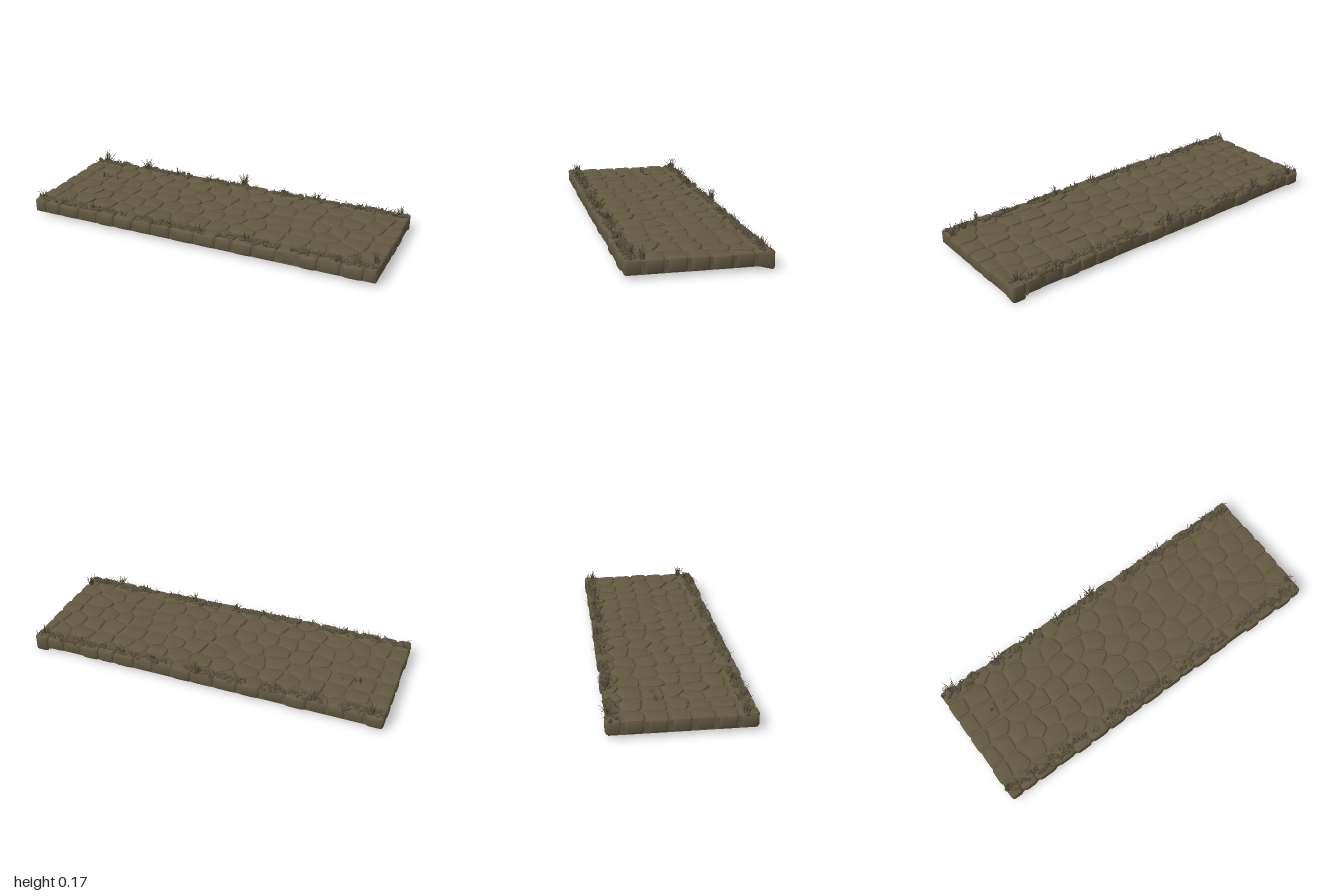
import * as THREE from 'three';
import { mergeGeometries, toCreasedNormals } from 'three/addons/utils/BufferGeometryUtils.js';

const BOTTOM = 0.02, TOP = 0.09;

// Small seeded random source
let seed = 7;
const rnd = (a = 0, b = 1) => {
  seed = (seed * 1664525 + 1013904223) % 4294967296;
  return a + (b - a) * seed / 4294967296;
};

// Keep the part of a convex polygon where nx*x + nz*z <= d
function clip(poly, nx, nz, d) {
  const out = [];
  poly.forEach((p, i) => {
    const q = poly[(i + 1) % poly.length];
    const a = nx * p.x + nz * p.y - d, b = nx * q.x + nz * q.y - d;
    if (a <= 0) out.push(p);
    if (a * b < 0) out.push(p.clone().lerp(q, a / (a - b)));
  });
  return out;
}

// Centres of the paving stones: kerb rows outside, wider rows inside
function stoneCentres() {
  const sites = [];
  const rows = [-0.312, -0.215, -0.105, 0, 0.105, 0.215, 0.318];
  rows.forEach((z, r) => {
    const kerb = r === 0 || r === rows.length - 1;
    const jitter = kerb ? 0.006 : 0.022;
    sites.push([-0.95, z + rnd(-0.01, 0.01)], [0.962, z + rnd(-0.01, 0.01)]);
    let x = -0.95 + rnd(0.08, 0.13);
    while (x < 0.9) {
      sites.push([x, z + rnd(-jitter, jitter)]);
      x += rnd(0.085, 0.155);
    }
  });
  return sites;
}

// Outline of one stone: the cell around its centre, less a narrow joint
function stoneOutline(site, sites) {
  let poly = [[-1.2, -0.6], [1.2, -0.6], [1.2, 0.6], [-1.2, 0.6]].map(p => new THREE.Vector2(...p));
  poly = clip(poly, 1, 0, 0.992 - rnd(0, 0.008));
  poly = clip(poly, -1, 0, 0.992 - rnd(0, 0.008));
  poly = clip(poly, 0, 1, 0.36 - rnd(0, 0.014));
  poly = clip(poly, 0, -1, 0.348 - rnd(0, 0.012));
  for (const other of sites) {
    if (other === site) continue;
    const dx = other[0] - site[0], dz = other[1] - site[1], len = Math.hypot(dx, dz);
    if (len > 0.5) continue;
    const nx = dx / len, nz = dz / len;
    poly = clip(poly, nx, nz, nx * site[0] + nz * site[1] + len / 2 - 0.0035);
  }
  return poly.filter((p, i) => p.distanceTo(poly[(i + 1) % poly.length]) > 0.018);
}

// A pillow-edged stone with softened corners and a slightly tilted top
function stoneGeometry(poly, site) {
  const shape = new THREE.Shape();
  const n = poly.length;
  const at = (i, j, t) => poly[(i + n) % n].clone().lerp(poly[(j + n) % n], t);
  poly.forEach((p, i) => {
    const a = at(i, i - 1, 0.24), b = at(i, i + 1, 0.24);
    if (i === 0) shape.moveTo(a.x, -a.y);
    else shape.lineTo(a.x, -a.y);
    shape.quadraticCurveTo(p.x, -p.y, b.x, -b.y);
  });
  shape.closePath();
  const bevel = 0.009;
  const geo = new THREE.ExtrudeGeometry(shape, {
    depth: TOP - BOTTOM - 2 * bevel, bevelThickness: bevel, bevelSize: bevel,
    bevelOffset: -bevel, bevelSegments: 2, curveSegments: 3,
  });
  geo.rotateX(-Math.PI / 2).translate(0, BOTTOM + bevel, 0);
  const tiltX = rnd(-0.035, 0.035), tiltZ = rnd(-0.035, 0.035), sink = rnd(0, 0.004);
  const pos = geo.attributes.position;
  for (let i = 0; i < pos.count; i++) {
    const x = pos.getX(i), z = pos.getZ(i);
    let y = pos.getY(i);
    if (y > 0.06) y = Math.min(0.092, y + tiltX * (x - site[0]) + tiltZ * (z - site[1]) - sink);
    // the back left corner stone sags at its foot
    else if (x > 0.9 && z < -0.265) y -= Math.min(0.02, (-0.265 - z) * 0.28);
    pos.setY(i, y);
  }
  return toCreasedNormals(geo, 0.8);
}

// One curved, tapered blade as a narrow strip
function blade(x, y, z, angle, length, lean, width) {
  const verts = [], index = [];
  const c = Math.cos(angle), s = Math.sin(angle), steps = 3;
  for (let i = 0; i <= steps; i++) {
    const t = i / steps, out = length * lean * (0.35 * t + 0.65 * t * t);
    const up = length * t * (1 - 0.35 * lean * t);
    const w = width * (1 - 0.85 * t * t) / 2;
    verts.push(x + c * out - s * w, y + up, z + s * out + c * w);
    verts.push(x + c * out + s * w, y + up, z + s * out - c * w);
    if (i) index.push(2 * i - 2, 2 * i - 1, 2 * i, 2 * i - 1, 2 * i + 1, 2 * i);
  }
  const geo = new THREE.BufferGeometry();
  geo.setAttribute('position', new THREE.Float32BufferAttribute(verts, 3));
  geo.setIndex(index);
  geo.computeVertexNormals();
  return geo;
}

function tuft(x, z, height, count) {
  const blades = [];
  for (let i = 0; i < count; i++) {
    blades.push(blade(x + rnd(-0.014, 0.014), 0.082, z + rnd(-0.012, 0.012),
      rnd(0, Math.PI * 2), height * rnd(0.55, 1.05), rnd(0.1, 0.75), rnd(0.004, 0.0065)));
  }
  return mergeGeometries(blades);
}

// Low strip of moss lumps with short stray blades
function mossStrip(x0, x1, z) {
  const lumps = [], blades = [];
  for (let x = x0; x < x1; x += 0.011) {
    const lump = new THREE.IcosahedronGeometry(1, 0);
    lump.rotateY(rnd(0, 6)).rotateX(rnd(0, 6));
    lump.scale(rnd(0.008, 0.018), rnd(0.006, 0.013), rnd(0.007, 0.014));
    lumps.push(lump.translate(x, rnd(0.086, 0.092), z + rnd(-0.024, 0.024)));
    for (let k = 0; k < 2; k++) {
      blades.push(blade(x + rnd(-0.01, 0.01), 0.086, z + rnd(-0.03, 0.03),
        rnd(0, Math.PI * 2), rnd(0.015, 0.032), rnd(0.4, 1.3), 0.005));
    }
  }
  return [mergeGeometries(lumps), mergeGeometries(blades)];
}

export function createModel() {
  seed = 7;
  const group = new THREE.Group();
  const stone = new THREE.MeshStandardMaterial({ name: 'stone', color: 0x645a42 });
  const moss = new THREE.MeshStandardMaterial({ name: 'moss', color: 0x544c38, flatShading: true });
  const grass = new THREE.MeshStandardMaterial({ name: 'grass', color: 0x544c38, side: THREE.DoubleSide });
  const add = (name, geo, mat) => {
    const mesh = new THREE.Mesh(geo, mat);
    mesh.name = name;
    group.add(mesh);
    return mesh;
  };

  // Bed that fills the joints and closes the underside
  add('bed', new THREE.BoxGeometry(1.965, 0.06, 0.68), stone).position.set(0, 0.0495, 0.006);

  // Paving stones
  const sites = stoneCentres();
  const stones = [];
  for (const site of sites) {
    const outline = stoneOutline(site, sites);
    if (outline.length > 2) stones.push(stoneGeometry(outline, site));
  }
  add('pavingStones', mergeGeometries(stones), stone);

  // Moss along the kerbs and one patch in the paving
  const strips = [
    [-0.98, -0.75, -0.315], [-0.66, -0.33, -0.315], [-0.25, 0.1, -0.315], [0.2, 0.52, -0.31], [0.54, 0.97, -0.31],
    [-0.98, -0.48, 0.312], [-0.35, 0.06, 0.318], [0.14, 0.46, 0.312], [0.54, 0.97, 0.312],
  ];
  for (const s of strips) {
    const [lumps, blades] = mossStrip(...s);
    add('mossStrip', lumps, moss);
    add('shortGrass', blades, grass);
  }

  // Grass tufts: x, z, height, blade count
  const tufts = [
    [-0.92, -0.325, 0.075, 30], [-0.63, -0.32, 0.075, 26], [-0.42, -0.31, 0.05, 14], [0.01, -0.33, 0.088, 30],
    [0.27, -0.31, 0.05, 16], [0.46, -0.31, 0.055, 16], [0.72, -0.3, 0.05, 16], [0.93, -0.3, 0.065, 22],
    [-0.96, 0.3, 0.055, 20], [-0.8, 0.32, 0.045, 14], [-0.62, 0.31, 0.05, 16], [-0.42, 0.32, 0.055, 14],
    [-0.14, 0.32, 0.045, 14], [0.03, 0.32, 0.05, 16], [0.29, 0.31, 0.06, 22], [0.62, 0.31, 0.05, 16],
    [0.79, 0.33, 0.06, 22], [0.88, 0.3, 0.06, 18], [0.96, 0.265, 0.068, 24],
    [-0.8, -0.1, 0.05, 9], [-0.72, -0.105, 0.03, 7],
  ];
  for (const t of tufts) add('grassTuft', tuft(...t), grass);

  return group;
}
